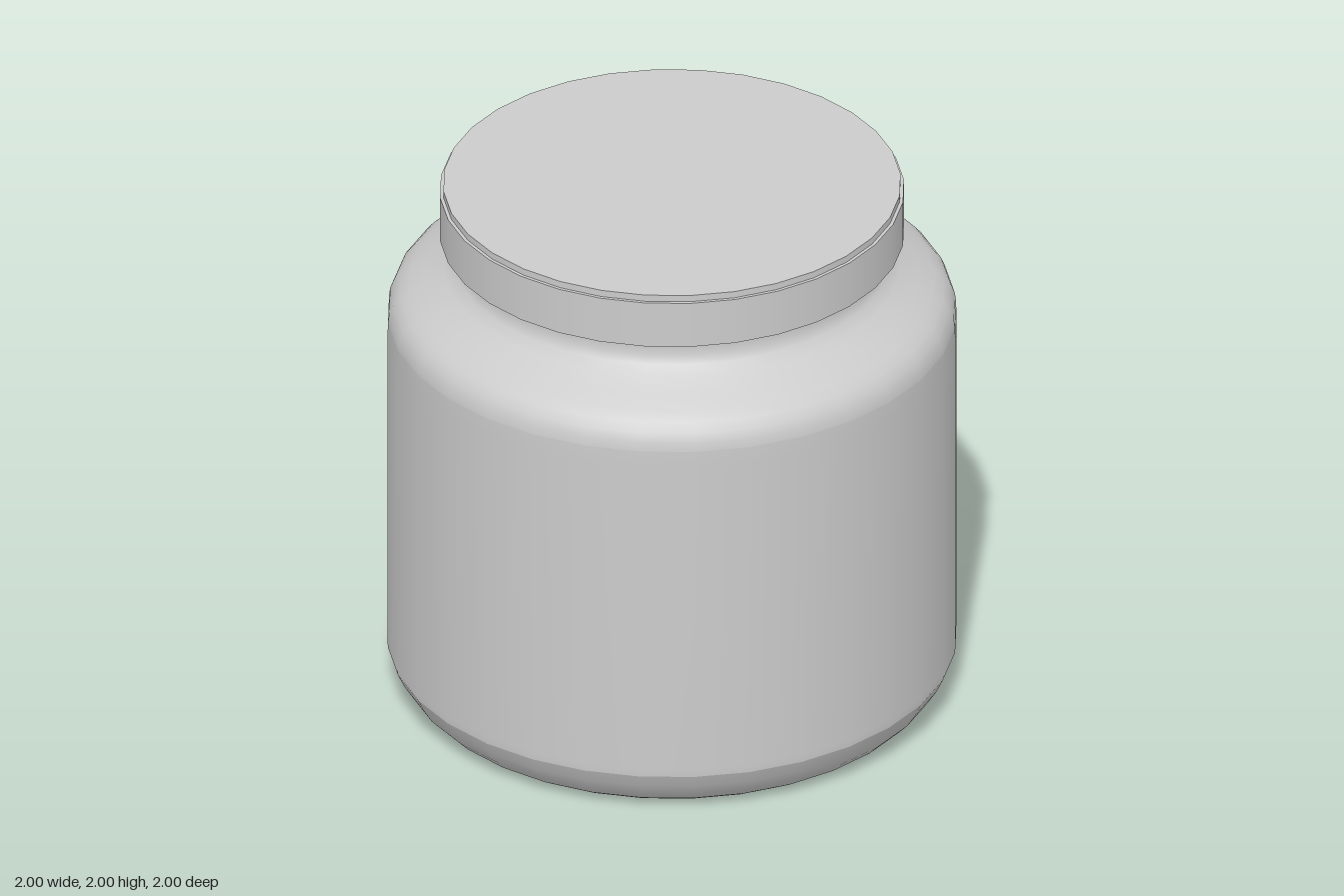
import * as THREE from 'three';

const SIDES = 32;
const material = new THREE.MeshStandardMaterial({ color: 0xcccccc, side: THREE.DoubleSide });

// Smooth surface of revolution from [radius, height] pairs listed bottom to top
function lathe(name, points) {
  const profile = points.map(([r, y]) => new THREE.Vector2(r, y));
  const mesh = new THREE.Mesh(new THREE.LatheGeometry(profile, SIDES), material);
  mesh.name = name;
  return mesh;
}

export function createModel() {
  const model = new THREE.Group();
  model.name = 'jarWithLid';

  // Jar: slightly domed base, rounded foot, straight wall, shoulder and neck
  const jar = new THREE.Group();
  jar.name = 'jar';
  jar.add(
    lathe('base', [[0, 0.004], [0.88, 0.016]]),
    lathe('foot', [[0.88, 0.016], [0.91, 0.035], [0.945, 0.072], [0.975, 0.12], [0.998, 0.17]]),
    lathe('wall', [[0.998, 0.17], [1, 0.2], [1, 0.8], [1, 1.42], [0.998, 1.48]]),
    lathe('shoulder', [
      [0.998, 1.48], [0.994, 1.51], [0.98, 1.545], [0.955, 1.575], [0.92, 1.6],
      [0.86, 1.635], [0.8, 1.67], [0.765, 1.7], [0.752, 1.73], [0.75, 1.76], [0.75, 1.82],
    ]),
  );

  // Lid: separate bands keep the rim edges crisp
  const lid = new THREE.Group();
  lid.name = 'lid';
  lid.add(
    lathe('lidUnderside', [[0.74, 1.8], [0.815, 1.8]]),
    lathe('lidBand', [[0.815, 1.8], [0.815, 1.975]]),
    lathe('lidStep', [[0.815, 1.975], [0.803, 1.975]]),
    lathe('lidRim', [[0.803, 1.975], [0.803, 2]]),
    lathe('lidTop', [[0.803, 2], [0, 2]]),
  );

  model.add(jar, lid);
  return model;
}
